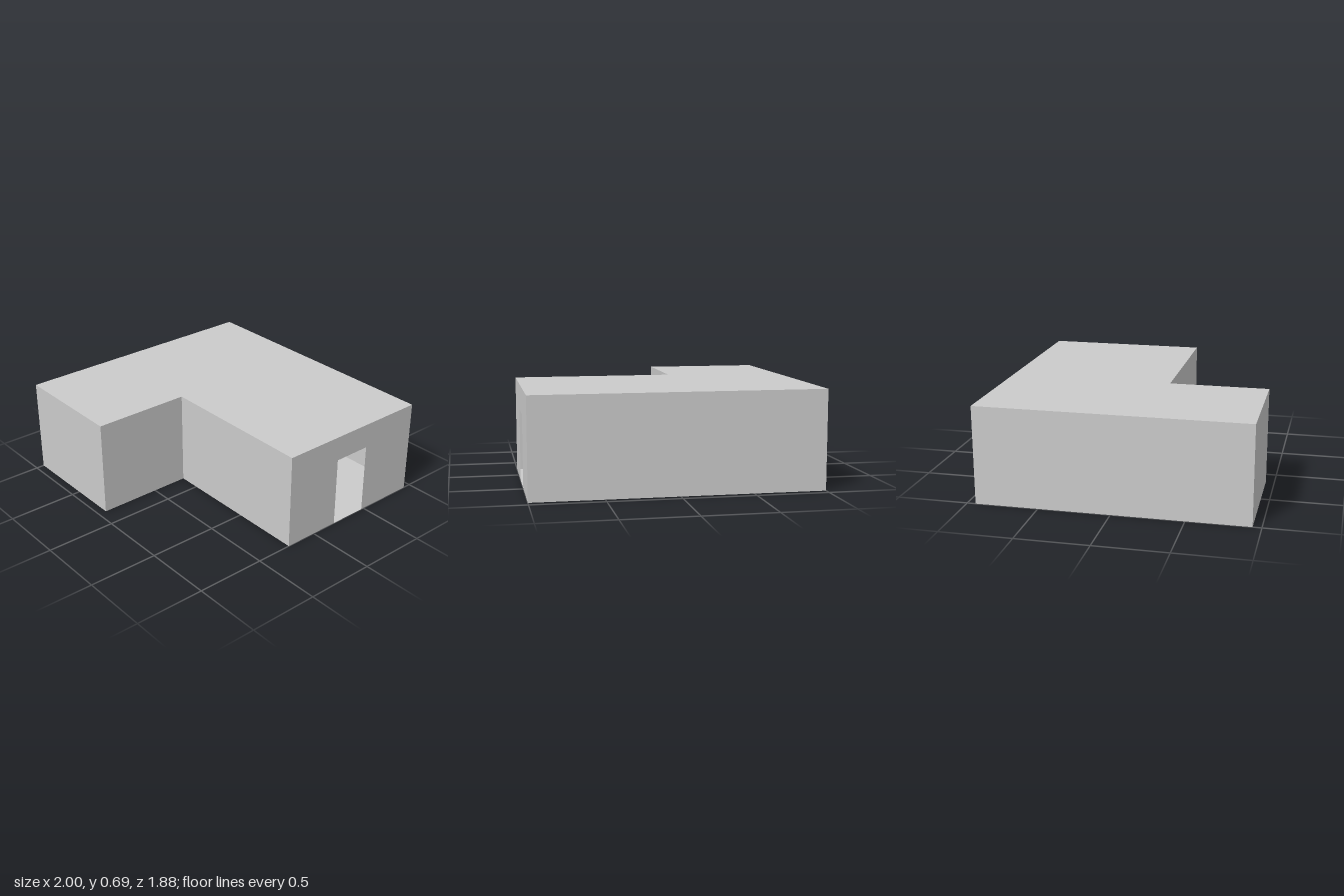
import * as THREE from 'three';

const HEIGHT = 0.69;

// L-shaped plan as [x, z] corners, counter-clockwise seen from above
const PLAN = [[-1, 0.94], [-0.155, 0.94], [-0.155, 0.235], [1, 0.235], [1, -0.94], [-1, -0.94]];

// Doorway in the end wall: distances along the wall, and height
const DOOR = { wall: 3, start: 0.435, end: 0.715, height: 0.51 };

export function createModel() {
  const group = new THREE.Group();
  group.name = 'building';
  const material = new THREE.MeshStandardMaterial({
    color: 0xcccccc, flatShading: true, side: THREE.DoubleSide,
  });
  const shapeOf = (points) => new THREE.Shape(points.map(([x, y]) => new THREE.Vector2(x, y)));
  const add = (name, points) => {
    const mesh = new THREE.Mesh(new THREE.ShapeGeometry(shapeOf(points)), material);
    mesh.name = name;
    group.add(mesh);
    return mesh;
  };

  // Roof faces up; floor is the mirrored plan, facing down
  const roof = add('roof', PLAN.map(([x, z]) => [x, -z]));
  roof.rotation.x = -Math.PI / 2;
  roof.position.y = HEIGHT;
  const floor = add('floor', PLAN);
  floor.rotation.x = Math.PI / 2;

  // Thin walls along every side of the plan, one cut by the doorway
  PLAN.forEach(([x, z], i) => {
    const [nx, nz] = PLAN[(i + 1) % PLAN.length];
    const length = Math.hypot(nx - x, nz - z);
    const hasDoor = i === DOOR.wall;
    const notch = hasDoor
      ? [[DOOR.start, 0], [DOOR.start, DOOR.height], [DOOR.end, DOOR.height], [DOOR.end, 0]]
      : [];
    const wall = add(hasDoor ? 'doorWall' : `wall${i + 1}`,
      [[0, 0], ...notch, [length, 0], [length, HEIGHT], [0, HEIGHT]]);
    wall.position.set(x, 0, z);
    wall.rotation.y = Math.atan2(z - nz, nx - x);
  });

  return group;
}
